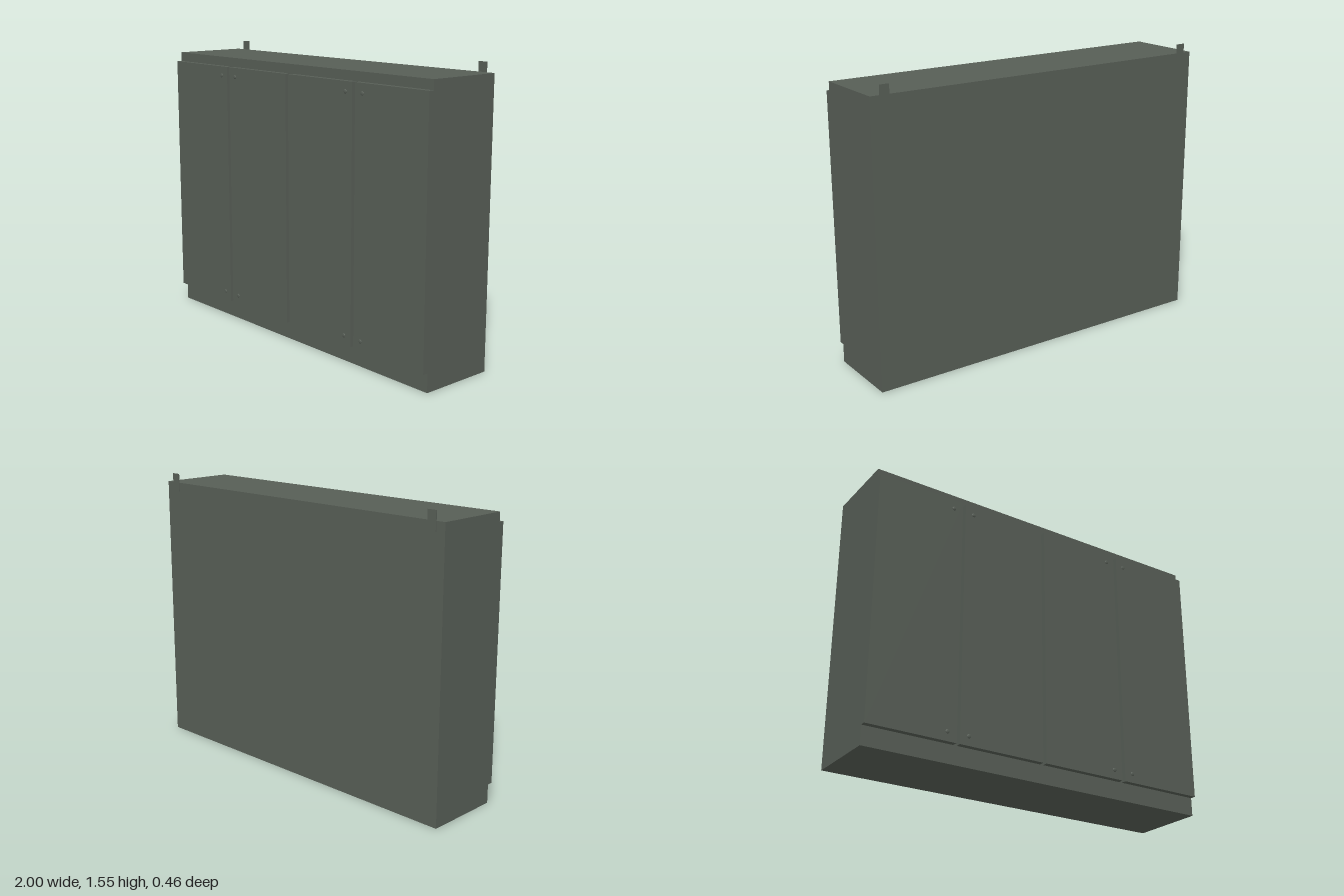
import * as THREE from 'three';

export function createModel() {
  const group = new THREE.Group();
  const grey = new THREE.MeshStandardMaterial({ color: 0x575e56 });
  grey.name = 'grey green paint';

  // Box given by its lower and upper corners
  const box = (name, [x0, y0, z0], [x1, y1, z1]) => {
    const mesh = new THREE.Mesh(new THREE.BoxGeometry(x1 - x0, y1 - y0, z1 - z0), grey);
    mesh.position.set((x0 + x1) / 2, (y0 + y1) / 2, (z0 + z1) / 2);
    mesh.name = name;
    group.add(mesh);
  };

  const back = -0.223, front = 0.197, doorFront = 0.227;
  box('cabinetBody', [-1, 0, back], [1, 1.5, front]);

  // Four doors with narrow gaps between them
  const width = 0.485, gap = 0.02;
  for (let i = 0; i < 4; i++) {
    const x = -1 + i * (width + gap);
    box('door', [x, 0.1, front], [x + width, 1.45, doorFront]);
  }

  // Domed screw heads in the door corners, beside the two outer gaps
  const dome = new THREE.SphereGeometry(0.011, 16, 6, 0, Math.PI * 2, 0, Math.PI / 2);
  dome.scale(1, 0.36, 1).rotateX(Math.PI / 2);
  for (const x of [-0.565, -0.445, 0.445, 0.565]) {
    for (const y of [0.15, 1.4]) {
      const screw = new THREE.Mesh(dome, grey);
      screw.position.set(x, y, doorFront);
      screw.name = 'doorScrew';
      group.add(screw);
    }
  }

  // Wall hanging tabs on the back
  for (const x of [-0.925, 0.925]) {
    box('hangingTab', [x - 0.025, 1.45, back - 0.005], [x + 0.025, 1.55, back]);
  }

  return group;
}
